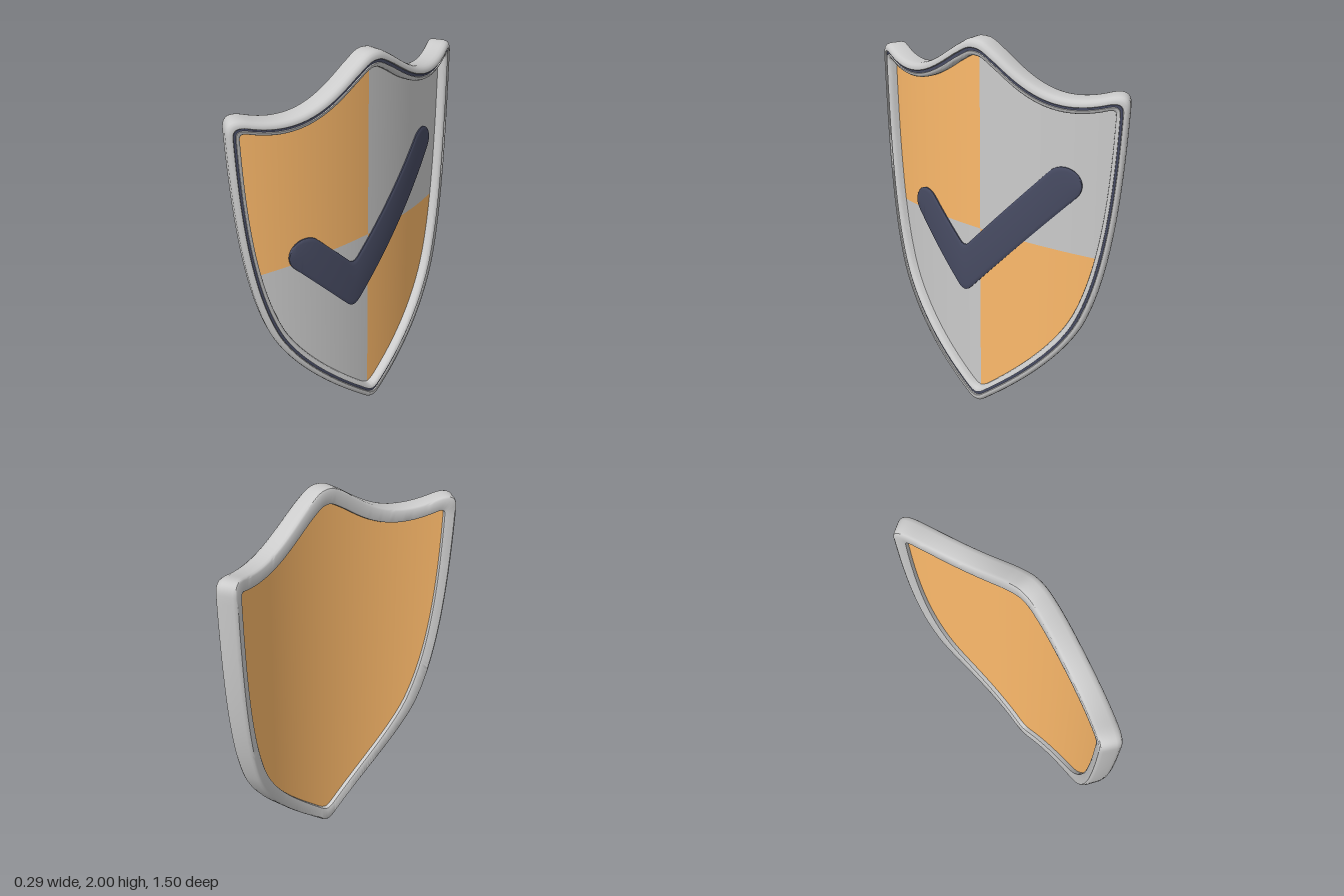
import * as THREE from 'three';
import { toCreasedNormals } from 'three/addons/utils/BufferGeometryUtils.js';

const GREY = 0xcccccc, ORANGE = 0xfdba6b, NAVY = 0x474b62;
const RADIUS = 1.54, AXIS_X = -1.395; // the shield is bent round a vertical axis

// u: across the face, y: height, d: depth from the front of the rim
function bend(u, y, d) {
  const a = Math.asin(u / RADIUS);
  return [AXIS_X + (RADIUS + d) * Math.cos(a), y, -(RADIUS + d) * Math.sin(a)];
}

// Bent surface over a grid of (u, y, d) points
function surface(name, color, ni, nj, point, loop = false) {
  const pos = [], idx = [];
  for (let i = 0; i < ni; i++) for (let j = 0; j < nj; j++) pos.push(...bend(...point(i, j)));
  for (let i = 0; i < (loop ? ni : ni - 1); i++) {
    for (let j = 0; j < nj - 1; j++) {
      const a = i * nj + j, b = ((i + 1) % ni) * nj + j;
      idx.push(a, b, b + 1, a, b + 1, a + 1);
    }
  }
  const geo = new THREE.BufferGeometry();
  geo.setAttribute('position', new THREE.Float32BufferAttribute(pos, 3));
  geo.setIndex(idx);
  const mesh = new THREE.Mesh(toCreasedNormals(geo, 0.7), new THREE.MeshStandardMaterial({ color }));
  mesh.name = name;
  return mesh;
}

// Half outline, from the top peak round the right corner to the bottom tip
const STEPS = [8, 30, 10, 40, 40, 8];
function halfOutline(start, curves) {
  let from = new THREE.Vector2(...start);
  return curves.map((c, i) => {
    const [p, q, to] = [0, 2, 4].map((k) => new THREE.Vector2(c[k], c[k + 1]));
    const pts = new THREE.CubicBezierCurve(from, p, q, to).getPoints(STEPS[i]);
    from = to;
    return i ? pts.slice(1) : pts;
  });
}
const outerParts = halfOutline([0, 2], [
  [0.05, 2, 0.07, 1.98, 0.13, 1.945],
  [0.27, 1.85, 0.42, 1.725, 0.67, 1.805],
  [0.74, 1.825, 0.76, 1.8, 0.76, 1.75],
  [0.74, 1.2, 0.69, 0.83, 0.59, 0.6],
  [0.48, 0.36, 0.2, 0.14, 0.06, 0.03],
  [0.03, 0.005, 0.02, 0, 0, 0],
]);
const innerParts = halfOutline([0, 1.915], [
  [0.04, 1.915, 0.06, 1.895, 0.12, 1.86],
  [0.26, 1.765, 0.42, 1.655, 0.67, 1.735],
  [0.69, 1.74, 0.7, 1.735, 0.7, 1.715],
  [0.685, 1.2, 0.635, 0.87, 0.535, 0.64],
  [0.44, 0.42, 0.18, 0.21, 0.05, 0.105],
  [0.03, 0.09, 0.02, 0.085, 0, 0.08],
]);
const mirrorLoop = (parts) => {
  const half = parts.flat();
  return [...half, ...half.slice(1, -1).reverse().map((p) => new THREE.Vector2(-p.x, p.y))];
};
const outer = mirrorLoop(outerParts), inner = mirrorLoop(innerParts);

// Sweeps a profile of [share of rim width, depth] round the shield
const rimSweep = (name, color, profile) =>
  surface(name, color, outer.length, profile.length, (i, j) => {
    const [w, d] = profile[j];
    const p = outer[i].clone().lerp(inner[i], w);
    return [p.x, p.y, d];
  }, true);

// Height of a curve at u, by interpolation
function heightOf(points) {
  const pts = [...points].sort((a, b) => a.x - b.x);
  return (u) => {
    if (u <= pts[0].x) return pts[0].y;
    for (let i = 1; i < pts.length; i++) {
      const a = pts[i - 1], b = pts[i];
      if (u <= b.x) return a.y + (b.y - a.y) * (u - a.x) / (b.x - a.x || 1);
    }
    return pts[pts.length - 1].y;
  };
}

// Sheet from u0 to u1 between two height functions; rows are [share of height, depth]
function sheet(name, color, u0, u1, low, high, rows, stretch = 1) {
  const n = 100;
  return surface(name, color, n + 1, rows.length, (i, j) => {
    const u = u0 + (u1 - u0) * (1 - Math.cos(Math.PI * i / n)) / 2;
    const a = low(u), b = Math.max(a, high(u));
    return [u * stretch, a + (b - a) * rows[j][0], rows[j][1]];
  });
}

export function createModel() {
  const shield = new THREE.Group();
  shield.name = 'shield';

  // Rounded rim with a coloured inlay set in a groove
  shield.add(rimSweep('rim', GREY, [
    [0.5, -0.012], [0.5, -0.003], [0.46, 0], [0.32, 0], [0.17, -0.005], [0.06, -0.015], [0, -0.032],
    [0, -0.092], [0.04, -0.104], [0.15, -0.11], [0.85, -0.11], [0.96, -0.106], [1, -0.098],
    [1, -0.03], [0.97, -0.018], [0.9, -0.01], [0.8, -0.006], [0.7, -0.004], [0.68, -0.012],
  ]));
  shield.add(rimSweep('rimInlay', NAVY, [[0.69, -0.01], [0.49, -0.01]]));

  // Panels, their edges tucked just inside the rim
  const edge = innerParts.map((part, i) => part.map((p, k) => p.clone().lerp(outerParts[i][k], 0.1)));
  const topHalf = heightOf(edge.slice(0, 3).flat()), bottomHalf = heightOf(edge.slice(3).flat());
  const top = (u) => topHalf(Math.abs(u)), bottom = (u) => bottomHalf(Math.abs(u));
  const split = (u) => 1 - 0.1 * u * u;
  const splitUp = (u) => Math.max(split(u), bottom(u));
  const width = 0.705;
  const front = [[0, -0.05], [0.5, -0.05], [1, -0.05]];
  const back = [[0, -0.085], [0.5, -0.085], [1, -0.085]];
  shield.add(
    sheet('upperRightPanel', ORANGE, -width, 0, splitUp, top, front),
    sheet('upperLeftPanel', GREY, 0, width, splitUp, top, front),
    sheet('lowerRightPanel', GREY, -width, 0, bottom, split, front),
    sheet('lowerLeftPanel', ORANGE, 0, width, bottom, split, front),
    sheet('backPanel', ORANGE, width, -width, bottom, top, back),
  );

  // Raised tick mark with round ends
  const r = 0.09, PI = Math.PI;
  const upper = new THREE.Path().absarc(-0.385, 1.02, r, PI, PI / 4, true)
    .lineTo(-0.14, 0.905).quadraticCurveTo(-0.105, 0.862, -0.07, 0.905)
    .absarc(0.455, 1.335, r, 0.75 * PI, 0, true);
  const lower = new THREE.Path().absarc(-0.385, 1.02, r, PI, 1.25 * PI, false)
    .lineTo(-0.15, 0.65).quadraticCurveTo(-0.105, 0.6, -0.06, 0.65)
    .absarc(0.455, 1.335, r, -PI / 4, 0, false);
  const tickRows = [[0, -0.055], [0, -0.044], [0.03, -0.041], [0.1, -0.039], [0.5, -0.039],
    [0.9, -0.039], [0.97, -0.041], [1, -0.044], [1, -0.055]];
  shield.add(sheet('tickMark', NAVY, -0.475, 0.545,
    heightOf(lower.getPoints(24)), heightOf(upper.getPoints(24)), tickRows, 1.027));

  return shield;
}
